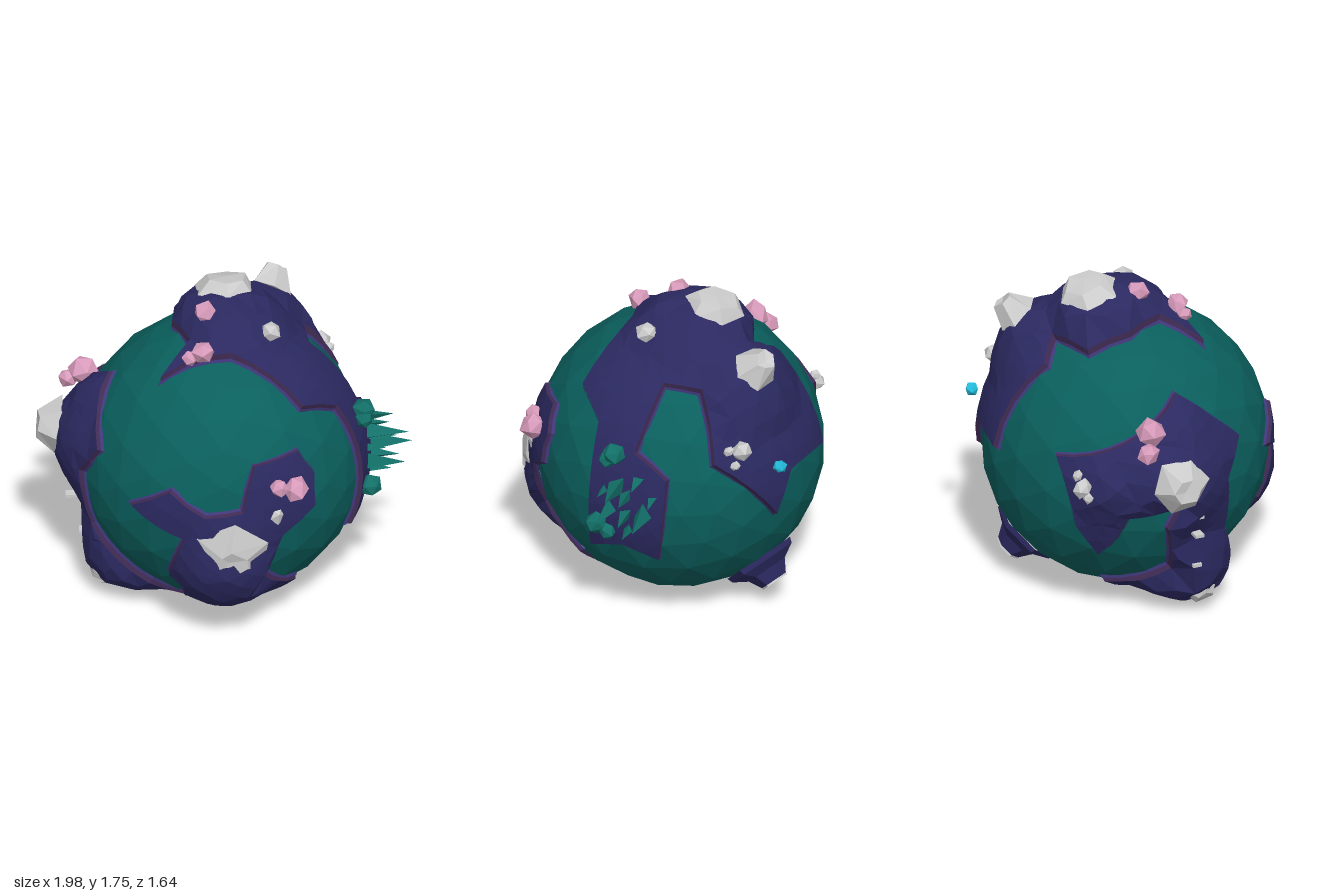
import * as THREE from 'three';

const C = new THREE.Vector3(-0.02, 0.777, -0.033); // globe centre
const R = 0.765; // sea level
const V = (p) => new THREE.Vector3(...p);
const mat = (color) => new THREE.MeshStandardMaterial({ color, flatShading: true });
const M = {
  sea: mat(0x0a5f5d), land: mat(0x2b2960), cliff: mat(0x402b54), shelf: mat(0x40377a),
  grey: mat(0xcccccc), pink: mat(0xd79aba), teal: mat(0x127068), cyan: mat(0x22bcdc), lake: mat(0x1b4f78),
};

function add(group, name, geo, material) {
  const mesh = new THREE.Mesh(geo, material);
  mesh.name = name;
  group.add(mesh);
  return mesh;
}
function fromTriangles(points) {
  const geo = new THREE.BufferGeometry().setFromPoints(points);
  geo.computeVertexNormals();
  return geo;
}
// Moves every corner by a repeatable amount so stones look hewn
function chip(geo, amount) {
  const p = geo.attributes.position;
  for (let i = 0; i < p.count; i++) {
    const c = [p.getX(i), p.getY(i), p.getZ(i)];
    const h = c.reduce((sum, x, k) => sum + Math.round(x * 500) * [12.99, 78.23, 37.72][k], 0);
    p.setXYZ(i, ...c.map((x, k) => x + Math.sin(h * (1 + k * 0.7)) * amount));
  }
  geo.computeVertexNormals();
  return geo;
}
// Stands a part at p, pointing along dir
function plant(mesh, p, dir) {
  mesh.position.copy(p);
  mesh.quaternion.setFromUnitVectors(new THREE.Vector3(0, 1, 0), dir.clone().normalize());
  return mesh;
}
// Widens a closed outline by w
function offset(loop, w) {
  const n = loop.length;
  return loop.map((p, i) => {
    const a = p.clone().sub(loop[(i + n - 1) % n]).normalize();
    const b = loop[(i + 1) % n].clone().sub(p).normalize();
    const m = new THREE.Vector2(a.y + b.y, -a.x - b.x).normalize();
    return p.clone().addScaledVector(m, w / Math.max(0.5, m.x * a.y - m.y * a.x));
  });
}
// Fills an outline, halving edges until all are short, then swaps edges to avoid slivers
function fillLoop(loop, max) {
  const tris = [], known = new Map();
  const shared = (p) => {
    p.id = Math.round(p.x * 1e5) + ',' + Math.round(p.y * 1e5);
    return known.get(p.id) ?? (known.set(p.id, p), p);
  };
  const split = (t) => {
    const len = t.map((p, i) => p.distanceTo(t[(i + 1) % 3]));
    const i = len.indexOf(Math.max(...len));
    if (len[i] <= max) return tris.push(t);
    const [a, b, c] = [t[i], t[(i + 1) % 3], t[(i + 2) % 3]];
    const m = shared(a.clone().add(b).multiplyScalar(0.5));
    split([a, m, c]);
    split([m, b, c]);
  };
  for (const f of THREE.ShapeUtils.triangulateShape(loop, [])) {
    const [a, b, c] = f.map((i) => shared(loop[i]));
    split(b.clone().sub(a).cross(c.clone().sub(a)) > 0 ? [a, b, c] : [a, c, b]);
  }
  const corner = (a, c, b) => a.clone().sub(c).angleTo(b.clone().sub(c));
  for (let pass = 0; pass < 40; pass++) {
    const edges = new Map(), used = new Set();
    tris.forEach((t, n) => t.forEach((p, k) => edges.set(p.id + '|' + t[(k + 1) % 3].id, [n, k])));
    for (const [n, k] of edges.values()) {
      const [a, b, c] = [0, 1, 2].map((j) => tris[n][(k + j) % 3]);
      const twin = edges.get(b.id + '|' + a.id);
      if (!twin || used.has(n) || used.has(twin[0])) continue;
      const d = tris[twin[0]][(twin[1] + 2) % 3];
      if (corner(a, c, b) + corner(a, d, b) < Math.PI + 1e-4) continue;
      tris[n] = [a, d, c];
      tris[twin[0]] = [d, b, c];
      used.add(n).add(twin[0]);
    }
  }
  return tris.flat();
}
// Raised land with cliff and shore; peaks are [top centre, top angle, base angle]
function makeLand(root, name, center, outline, peaks, thick) {
  const g = new THREE.Group(), max = 0.2;
  g.name = name;
  root.add(g);
  // flat map around the centre: angle from it becomes distance
  const d = V(center).normalize();
  const u = new THREE.Vector3(0.3, 1, 0.2).cross(d).normalize(), v = d.clone().cross(u);
  const loop = outline.map((p) => {
    const q = V(p).sub(C).normalize();
    return new THREE.Vector2(q.dot(u), q.dot(v)).setLength(q.angleTo(d));
  });
  if (THREE.ShapeUtils.isClockWise(loop)) loop.reverse();
  const round = (t) => {
    const a = Math.max(t.length(), 1e-6), k = Math.sin(a) / a;
    return d.clone().multiplyScalar(Math.cos(a)).addScaledVector(u, t.x * k).addScaledVector(v, t.y * k);
  };
  const inland = (t) => Math.min(...loop.map((a, i) => {
    const ab = loop[(i + 1) % loop.length].clone().sub(a), at = t.clone().sub(a);
    return at.addScaledVector(ab, -THREE.MathUtils.clamp(at.dot(ab) / ab.lengthSq(), 0, 1)).length();
  }));
  const lift = (t) => {
    const q = round(t);
    const hills = peaks.map(([p, top, base]) => {
      const s = V(p).sub(C);
      return (s.length() - R - thick) * THREE.MathUtils.clamp((base - q.angleTo(s)) / (base - top), 0, 1);
    });
    return q.multiplyScalar(R + thick + Math.min(Math.max(0, ...hills), inland(t) * 1.2 + 0.01)).add(C);
  };
  const level = (r) => (t) => round(t).multiplyScalar(r).add(C);
  add(g, 'ground', fromTriangles(fillLoop(loop, max).map(lift)), M.land);
  // cliff around the edge and a narrow shore at its foot
  const edge = loop.flatMap((a, i) => {
    const b = loop[(i + 1) % loop.length];
    const n = 2 ** Math.max(0, Math.ceil(Math.log2(a.distanceTo(b) / max)));
    return Array.from({ length: n }, (_, k) => a.clone().lerp(b, k / n));
  });
  const foot = offset(edge, 0.016), rim = offset(edge, 0.03);
  const band = (lo, lowFn, hi, highFn) => fromTriangles(lo.flatMap((p, i) => {
    const j = (i + 1) % lo.length;
    const [a, b, c, e] = [lowFn(p), lowFn(lo[j]), highFn(hi[j]), highFn(hi[i])];
    return [a, b, c, a, c, e];
  }));
  add(g, 'cliff', band(foot, level(R), edge, lift), M.cliff);
  add(g, 'shore', band(rim, level(R - 0.008), foot, level(R + 0.006)), M.shelf);
}

export function createModel() {
  const root = new THREE.Group();
  root.name = 'planet';
  add(root, 'sea', new THREE.IcosahedronGeometry(R, 3), M.sea).position.copy(C);
  // Northern land: summit, eastern strip, bay and back points
  makeLand(root, 'northLand', [0.3, 0.75, -0.2], [
    [-0.33, 1.41, 0.26], [-0.2, 1.47, 0.22], [0.03, 1.5, 0.2], [0.4, 1.3, 0.37], [0.57, 1.2, 0.22], [0.64, 0.5, 0.24],
    [0.72, 0.57, 0.05], [0.68, 0.5, -0.13], [0.7, 0.98, -0.18], [0.67, 1.1, 0], [0.42, 1.38, -0.08], [0.4, 1.37, -0.28],
    [0.54, 1.23, -0.38], [0.58, 1.05, -0.4], [0.39, 0.7, -0.68], [0.3, 0.92, -0.75], [-0.05, 0.9, -0.82],
    [-0.12, 1.33, -0.52], [0, 1.42, -0.42], [-0.24, 1.42, -0.34], [-0.25, 1.46, -0.12], [-0.17, 1.48, 0.08],
  ], [[[0.03, 1.69, -0.2], 0.19, 0.5], [[0.05, 1.69, -0.02], 0.08, 0.38], [[0.26, 1.49, -0.54], 0.1, 0.46]], 0.028);
  // Southern land: front arm, underside and western mountain
  makeLand(root, 'southLand', [-0.5, -0.4, 0.4], [
    [-0.5, 0.83, 0.57], [-0.3, 0.96, 0.66], [-0.12, 0.84, 0.72], [0.08, 0.87, 0.72], [0.14, 1.1, 0.64], [0.37, 1.13, 0.54],
    [0.46, 1, 0.55], [0.46, 0.82, 0.58], [0.28, 0.7, 0.66], [0.19, 0.43, 0.62], [0.38, 0.22, 0.42], [0.17, 0.06, 0.26],
    [-0.13, 0.015, -0.01], [-0.4, 0.16, -0.33], [-0.64, 0.3, -0.06], [-0.76, 0.6, -0.13], [-0.78, 0.74, -0.07],
    [-0.72, 0.69, -0.35], [-0.58, 0.43, -0.45], [-0.55, 0.62, -0.56], [-0.47, 1, -0.65], [-0.58, 1.27, -0.01],
    [-0.64, 1, 0.3], [-0.73, 0.82, 0.2], [-0.7, 0.5, 0.22], [-0.42, 0.18, 0.37], [-0.2, 0.1, 0.28], [-0.2, 0.35, 0.5],
    [-0.3, 0.42, 0.59], [-0.22, 0.7, 0.69],
  ], [[[-0.89, 0.89, -0.1], 0.15, 0.46], [[-0.8, 1.12, -0.06], 0.08, 0.3], [[-0.75, 0.86, -0.47], 0.06, 0.3],
    [[0.02, 0.63, 0.76], 0.2, 0.32], [[0, 0.39, 0.77], 0.13, 0.42], [[0, 0.21, 0.59], 0.08, 0.32],
    [[-0.67, 0.11, 0.12], 0.1, 0.42]], 0.022);
  // Bare stone peaks: [position, radius, tip radius, height]
  for (const [p, r, tip, h] of [
    [[0.01, 1.67, -0.24], 0.17, 0.11, 0.065], [[0.26, 1.48, -0.54], 0.12, 0.055, 0.12],
    [[-0.885, 0.89, -0.11], 0.16, 0.07, 0.12], [[0.02, 0.605, 0.745], 0.215, 0.08, 0.085],
    [[-0.67, 0.11, 0.12], 0.08, 0.05, 0.03],
  ]) {
    const geo = chip(new THREE.CylinderGeometry(tip, r, h, 6, 1).translate(0, h / 2 - 0.015, 0), r * 0.07);
    plant(add(root, 'stonePeak', geo, M.grey), V(p), V(p).sub(C));
  }
  // Volcano on the lower back
  const volcano = new THREE.Group();
  volcano.name = 'volcano';
  const lathe = (points) => new THREE.LatheGeometry(points.map((q) => new THREE.Vector2(...q)), 6);
  add(volcano, 'slope', lathe([[0.2, 0], [0.19, 0.03], [0.115, 0.075], [0.075, 0.145]]), M.land);
  add(volcano, 'craterRim', lathe([[0.076, 0.135], [0.076, 0.153], [0.045, 0.153], [0.04, 0.125]]), M.grey);
  add(volcano, 'craterLake', new THREE.CylinderGeometry(0.045, 0.045, 0.01, 6).translate(0, 0.13, 0), M.lake);
  const down = new THREE.Vector3(0.22, -0.66, -0.61).normalize();
  root.add(plant(volcano, C.clone().addScaledVector(down, R - 0.025), down));
  // Loose stones: [x, y, z, radius]
  const stones = {
    grey: [[0.24, 1.58, 0.07, 0.06], [0.52, 1.12, -0.54, 0.06], [0.56, 1.13, -0.48, 0.03], [0.55, 1.04, -0.51, 0.03],
      [-0.66, 0.88, -0.58, 0.055], [-0.62, 0.94, -0.59, 0.03], [-0.67, 0.82, -0.55, 0.03], [0.25, 0.82, 0.66, 0.065]],
    pink: [[-0.74, 1.17, -0.22, 0.08], [-0.82, 1.09, -0.27, 0.06], [-0.1, 1.66, 0, 0.065], [-0.12, 1.55, 0.22, 0.065],
      [-0.19, 1.52, 0.23, 0.04], [0.36, 0.97, 0.66, 0.07], [0.27, 0.99, 0.68, 0.05]],
    teal: [[0.73, 1.11, 0.1, 0.065], [0.73, 1.07, 0.14, 0.045], [0.76, 0.69, 0.19, 0.065], [0.76, 0.65, 0.13, 0.045]],
    cyan: [[0.42, 1, -0.72, 0.038]],
  };
  for (const [kind, list] of Object.entries(stones)) {
    for (const [x, y, z, r] of list) {
      const stone = add(root, kind + 'Stone', chip(new THREE.IcosahedronGeometry(r, 0), r * 0.1), M[kind]);
      stone.position.set(x, y, z);
      stone.rotation.set(x * 9, y * 7, z * 5);
    }
  }
  // Crystal spikes on the eastern strip: [y, z, length]
  for (const [y, z, len] of [[0.94, 0.07, 0.22], [0.98, -0.04, 0.14], [0.88, -0.12, 0.12], [0.8, -0.07, 0.24],
    [0.8, 0.12, 0.2], [0.89, 0.02, 0.16], [0.69, 0.01, 0.13], [0.78, 0.02, 0.17], [0.9, 0.15, 0.1]]) {
    const cone = new THREE.ConeGeometry(len * 0.24, len, 3).rotateY(y * 40).translate(0, len / 2, 0);
    plant(add(root, 'crystalSpike', cone, M.teal), V([0.75, y, z]), V([1, (y - 0.85) * 0.4, z * 0.5]));
  }
  // Small stone slabs on the western slope
  for (const [x, y, z] of [[-0.81, 0.66, 0.02], [-0.81, 0.55, 0.02], [-0.74, 0.34, 0.04]]) {
    add(root, 'slab', new THREE.BoxGeometry(0.06, 0.018, 0.05), M.grey).position.set(x, y, z);
  }
  return root;
}
